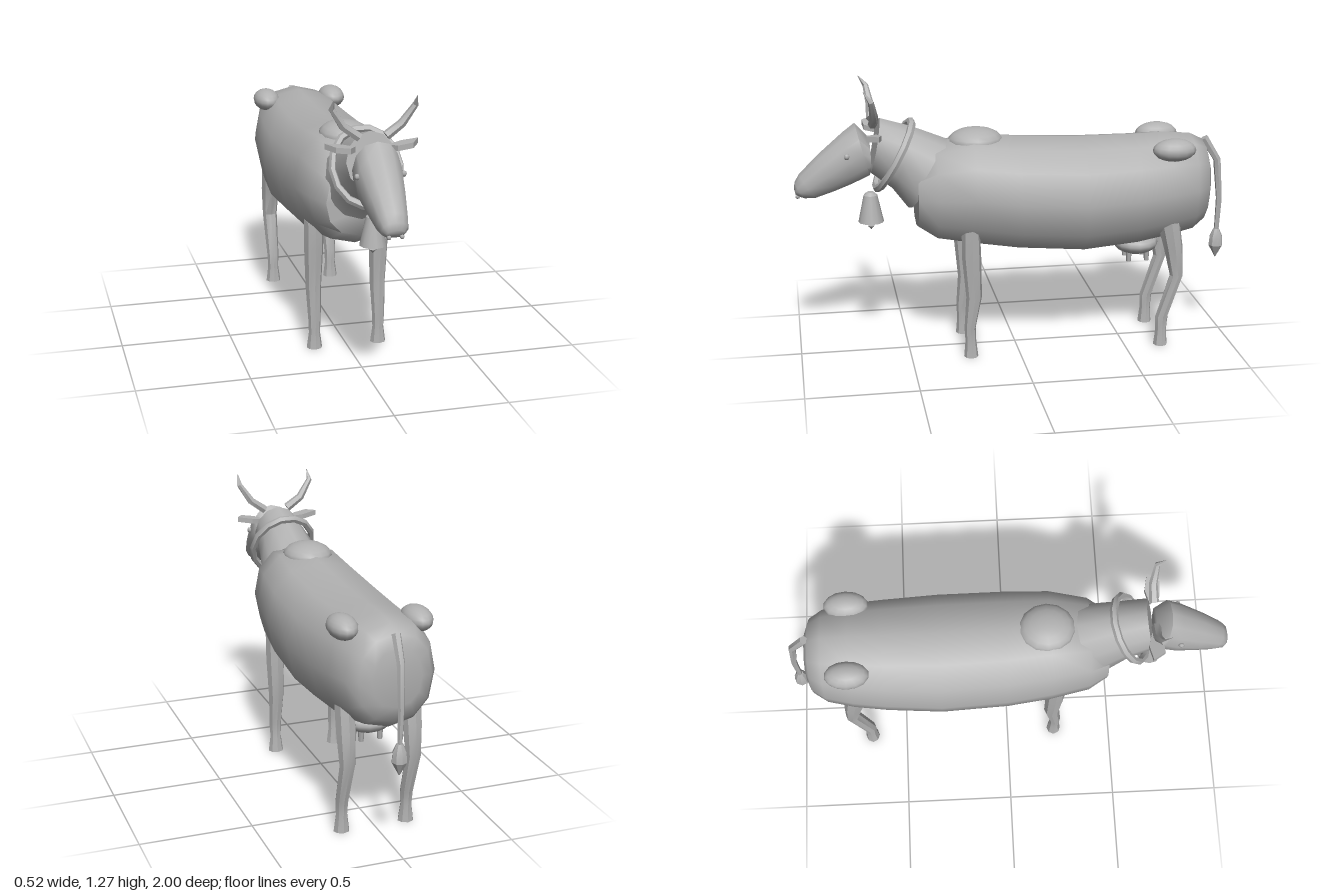
import * as THREE from 'three';
import { toCreasedNormals, mergeVertices } from 'three/addons/utils/BufferGeometryUtils.js';

const V = (x, y, z) => new THREE.Vector3(x, y, z);
const hide = new THREE.MeshStandardMaterial({ name: 'plain grey', color: 0xb2b2b2 });

// Skin over rings { c: centre, u, v: half axes }, with u x v along the travel, capped at both ends.
function loft(rings, sides, crease, power = 1) {
  const pos = [], idx = [], n = sides;
  const bulge = (t) => Math.sign(t) * Math.pow(Math.abs(t), power);
  for (const { c, u, v } of rings) {
    for (let j = 0; j < n; j++) {
      const a = (j / n) * Math.PI * 2;
      const p = c.clone().addScaledVector(u, bulge(Math.cos(a))).addScaledVector(v, bulge(Math.sin(a)));
      pos.push(p.x, p.y, p.z);
    }
  }
  for (let i = 0; i < rings.length - 1; i++) {
    for (let j = 0; j < n; j++) {
      const a = i * n + j, b = i * n + ((j + 1) % n);
      idx.push(a, b, b + n, a, b + n, a + n);
    }
  }
  const last = (rings.length - 1) * n;
  for (let j = 1; j < n - 1; j++) idx.push(0, j + 1, j, last, last + j, last + j + 1);
  const geo = new THREE.BufferGeometry();
  geo.setAttribute('position', new THREE.Float32BufferAttribute(pos, 3));
  geo.setIndex(idx);
  return toCreasedNormals(geo, crease);
}

// Rows of [top z, top y, bottom z, bottom y, half width], running forward.
const sideRings = (rows) => rows.map(([zt, yt, zb, yb, w]) => ({
  c: V(0, (yt + yb) / 2, (zt + zb) / 2),
  u: V(w, 0, 0),
  v: V(0, (yt - yb) / 2, (zt - zb) / 2),
}));

// Tapered tube through points, with one radius for each.
function limb(points, radii, ref, sides) {
  const rings = points.map((c, i) => {
    const t = points[Math.min(i + 1, points.length - 1)].clone().sub(points[Math.max(i - 1, 0)]).normalize();
    const u = ref.clone().addScaledVector(t, -ref.dot(t)).normalize();
    const v = t.clone().cross(u);
    return { c, u: u.multiplyScalar(radii[i]), v: v.multiplyScalar(radii[i]) };
  });
  return loft(rings, sides, 0.5);
}

export function createModel() {
  const cow = new THREE.Group();
  cow.name = 'cow';
  const add = (name, geo, x = 0, y = 0, z = 0) => {
    const m = new THREE.Mesh(geo, hide);
    m.name = name;
    m.position.set(x, y, z);
    cow.add(m);
    return m;
  };
  const ball = (name, x, y, z, rx, ry, rz, w = 14, h = 10) =>
    add(name, new THREE.SphereGeometry(1, w, h).scale(rx, ry, rz), x, y, z);

  // Barrel body: z, bottom, top, half width
  const body = [
    [-0.9, 0.64, 0.89, 0.11], [-0.88, 0.57, 0.95, 0.16], [-0.82, 0.525, 0.98, 0.2],
    [-0.7, 0.5, 0.99, 0.228], [-0.55, 0.475, 0.985, 0.245], [-0.3, 0.455, 0.985, 0.262],
    [0, 0.48, 1.0, 0.255], [0.2, 0.51, 1.02, 0.236], [0.37, 0.54, 0.985, 0.2], [0.455, 0.6, 0.91, 0.15],
  ].map(([z, b, t, w]) => [z, t, z, b, w]);
  add('body', loft(sideRings(body), 12, 1.0, 0.88));

  // Neck and head
  add('neck', loft(sideRings([
    [0.31, 1.0, 0.49, 0.685, 0.15], [0.47, 1.065, 0.56, 0.78, 0.125], [0.61, 1.107, 0.66, 0.86, 0.11],
  ]), 12, 0.9));
  add('head', loft(sideRings([
    [0.66, 1.02, 0.655, 0.87, 0.085], [0.722, 1.09, 0.66, 0.845, 0.1], [0.775, 1.05, 0.74, 0.81, 0.1],
    [0.89, 0.95, 0.82, 0.78, 0.083], [0.975, 0.865, 0.9, 0.755, 0.066],
    [0.995, 0.83, 0.95, 0.755, 0.056], [1.0, 0.8, 0.98, 0.765, 0.038],
  ]), 12, 0.9, 0.9));

  // Shoulder hump, udder
  ball('shoulderHump', 0, 0.985, 0.18, 0.113, 0.062, 0.126);
  ball('udder', 0, 0.465, -0.575, 0.11, 0.053, 0.105);

  // Legs: y, z, half width, half depth
  const frontLeg = [
    [0.585, 0.224, 0.045, 0.042], [0.48, 0.222, 0.044, 0.044], [0.29, 0.212, 0.036, 0.036],
    [0.14, 0.232, 0.029, 0.026], [0.075, 0.229, 0.026, 0.025], [0, 0.228, 0.036, 0.033],
  ];
  const backLeg = [
    [0.585, -0.695, 0.045, 0.052], [0.48, -0.718, 0.044, 0.045], [0.34, -0.738, 0.036, 0.031],
    [0.14, -0.673, 0.029, 0.03], [0.075, -0.671, 0.026, 0.026], [0, -0.669, 0.036, 0.033],
  ];

  for (const s of [-1, 1]) {
    const side = s > 0 ? 'left' : 'right';
    for (const [name, rows] of [['FrontLeg', frontLeg], ['BackLeg', backLeg]]) {
      const rings = rows.map(([y, z, w, d], i) => ({
        c: V(s * 0.15, y, z), u: V(w, i ? 0 : s * 0.03, 0), v: V(0, 0, d),
      }));
      add(side + name, loft(rings, 8, 0.5));
    }
    ball(side + 'HipBone', s * 0.165, 0.945, -0.705, 0.063, 0.052, 0.1);
    for (const z of [-0.535, -0.62]) {
      add(side + 'Teat', new THREE.CylinderGeometry(0.015, 0.011, 0.06, 6), s * 0.043, 0.412, z);
    }
    ball(side + 'Eye', s * 0.099, 0.96, 0.765, 0.012, 0.014, 0.014, 6, 4);
    ball(side + 'Nostril', s * 0.027, 0.768, 0.985, 0.01, 0.01, 0.012, 6, 4);

    // Horn curving out and then up
    add(side + 'Horn', limb(
      [V(s * 0.058, 1.092, 0.645), V(s * 0.125, 1.14, 0.642), V(s * 0.178, 1.22, 0.657), V(s * 0.176, 1.265, 0.69)],
      [0.021, 0.019, 0.013, 0.001], V(0, 0, 1), 6));

    // Thin leaf-shaped ear
    const leaf = new THREE.Shape([[0.07, -0.63], [0.13, -0.612], [0.2, -0.627], [0.165, -0.68], [0.1, -0.675]]
      .map(([x, z]) => new THREE.Vector2(x * s, z)));
    const ear = new THREE.ExtrudeGeometry(leaf, { depth: 0.024, bevelEnabled: false }).rotateX(-Math.PI / 2);
    const p = ear.attributes.position;
    for (let i = 0; i < p.count; i++) p.setY(i, p.getY(i) + 1.03 + (Math.abs(p.getX(i)) - 0.1) * 0.16);
    ear.computeVertexNormals();
    add(side + 'Ear', ear);
  }

  // Tail with tuft
  add('tail', limb(
    [V(0.005, 0.955, -0.89), V(0.01, 0.85, -0.955), V(0.012, 0.66, -0.972), V(0.012, 0.48, -0.965)],
    [0.02, 0.018, 0.014, 0.011], V(1, 0, 0), 6));
  add('tailTuft', limb(
    [V(0.012, 0.51, -0.965), V(0.012, 0.475, -0.965), V(0.012, 0.43, -0.965), V(0.012, 0.37, -0.965)],
    [0.014, 0.03, 0.034, 0.002], V(1, 0, 0), 8));

  // Collar, bell and clapper
  const collarGeo = mergeVertices(new THREE.TorusGeometry(0.17, 0.018, 6, 14).scale(0.87, 1, 1));
  add('collar', toCreasedNormals(collarGeo, 0.6), 0, 0.935, 0.55).rotation.x = -0.51;
  add('bell', new THREE.CylinderGeometry(0.031, 0.058, 0.125, 12), 0, 0.69, 0.66);
  add('bellCrown', new THREE.CylinderGeometry(0.016, 0.031, 0.014, 12), 0, 0.7595, 0.66);
  add('clapper', new THREE.OctahedronGeometry(0.016), 0, 0.606, 0.66);
  add('clapperStem', new THREE.CylinderGeometry(0.004, 0.004, 0.03, 5), 0, 0.625, 0.66);
  return cow;
}
